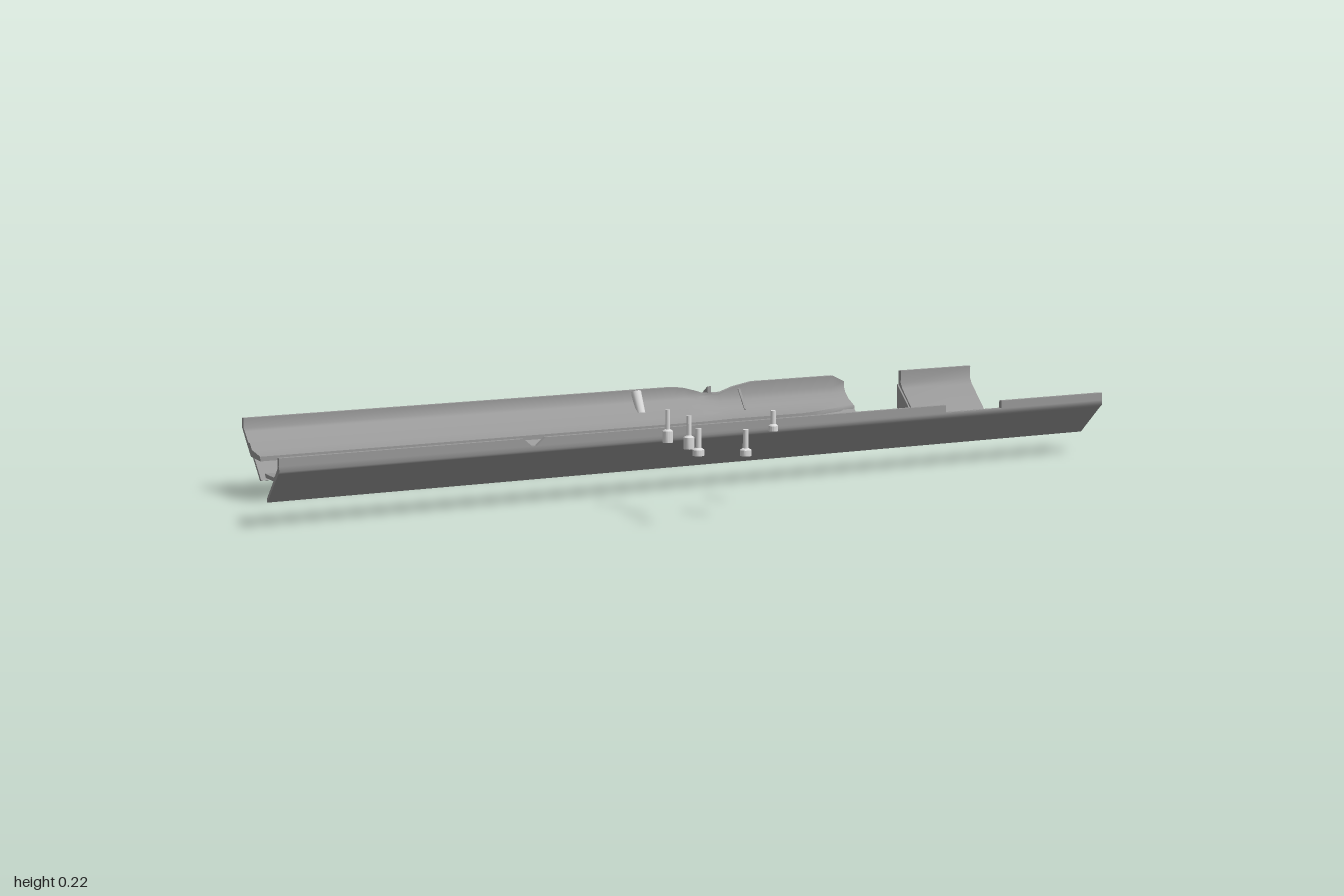
import * as THREE from 'three';
import { toCreasedNormals } from 'three/addons/utils/BufferGeometryUtils.js';

const steel = new THREE.MeshStandardMaterial({ color: 0x9a9a9a });
steel.name = 'steel grey';
const bright = new THREE.MeshStandardMaterial({ color: 0xdcdcdc });
bright.name = 'bright steel';
for (const m of [steel, bright]) m.side = THREE.DoubleSide;

// Closed [z, y] section carried along x; sectionAt(x) keeps its point count
function loft(xs, sectionAt, crease = 0.5) {
  const pos = [];
  const rings = xs.map((x) => {
    const pts = sectionAt(x).map(([z, y]) => new THREE.Vector2(z, y));
    if (THREE.ShapeUtils.isClockWise(pts)) pts.reverse();
    return pts;
  });
  const put = (i, k) => pos.push(xs[i], rings[i][k].y, rings[i][k].x);
  const n = rings[0].length, last = xs.length - 1;
  for (let i = 0; i < last; i++) {
    for (let k = 0; k < n; k++) {
      const j = (k + 1) % n;
      put(i, k); put(i + 1, k); put(i + 1, j);
      put(i, k); put(i + 1, j); put(i, j);
    }
  }
  for (const [a, b, c] of THREE.ShapeUtils.triangulateShape(rings[0], [])) {
    put(0, a); put(0, b); put(0, c);
  }
  for (const [a, b, c] of THREE.ShapeUtils.triangulateShape(rings[last], [])) {
    put(last, a); put(last, c); put(last, b);
  }
  const g = new THREE.BufferGeometry();
  g.setAttribute('position', new THREE.Float32BufferAttribute(pos, 3));
  return toCreasedNormals(g, crease);
}

// Linear lookup through [x, value] stops
function lookup(stops, x) {
  for (let i = 1; i < stops.length; i++) {
    const [a, u] = stops[i - 1], [b, v] = stops[i];
    if (x <= b) return u + (v - u) * Math.max(0, (x - a) / (b - a));
  }
  return stops[stops.length - 1][1];
}

export function createModel() {
  const root = new THREE.Group();
  const add = (parent, name, geometry, material = steel) => {
    const mesh = new THREE.Mesh(geometry, material);
    mesh.name = name;
    parent.add(mesh);
    return mesh;
  };
  const group = (name) => {
    const g = new THREE.Group();
    g.name = name;
    root.add(g);
    return g;
  };

  // Long front rail: sloping web with a rear ledge, and a notched upright flange
  const rail = group('frontRail');
  add(rail, 'railWeb', loft([-1, 1], () => [
    [0.055, 0.13], [0.055, 0.119], [0.049, 0.114], [-0.025, 0.045], [-0.026, 0.053], [0.017, 0.095],
    [-0.03, 0.095], [-0.035, 0.103], [0.02, 0.103], [0.03, 0.109], [0.045, 0.125], [0.045, 0.13],
  ], 0.9));
  for (const [a, b, c, d] of [[-1, -0.47, -1, -0.45], [-0.42, 0.57, -0.44, 0.57], [0.72, 1, 0.72, 1]]) {
    const s = new THREE.Shape([[c, 0.13], [d, 0.13], [b, 0.147], [a, 0.147]].map((p) => new THREE.Vector2(...p)));
    const g = new THREE.ExtrudeGeometry(s, { depth: 0.01, bevelEnabled: false });
    add(rail, 'railFlange', g.translate(0, 0, 0.045));
  }

  // Rear channel: curved trough with a dipped flange and tapering lip
  const channel = group('rearChannel');
  const top = [[0.1, 0.165], [0.14, 0.16], [0.18, 0.146], [0.22, 0.143], [0.26, 0.156], [0.31, 0.165], [0.53, 0.165], [0.56, 0.15]];
  const lip = [[0.13, -0.274], [0.2, -0.283], [0.39, -0.282], [0.43, -0.292], [0.48, -0.312], [0.53, -0.33]];
  const rise = [[0.13, 0.012], [0.22, 0]];
  const xs = [-0.93, -0.4, 0.1, 0.13, 0.16, 0.18, 0.2, 0.22, 0.26, 0.31, 0.39, 0.43, 0.48, 0.53, 0.56];
  add(channel, 'channelTrough', loft(xs, (x) => {
    const t = lookup(top, x), l = lookup(lip, x), h = lookup(rise, x);
    return [
      [-0.38, t], [-0.38, 0.138 + h * 0.4], [-0.373, 0.125 + h], [-0.358, 0.111 + h], [-0.336, 0.1 + h * 0.4], [l, 0.097],
      [l, 0.087], [-0.336, 0.088], [-0.365, 0.105 + h], [-0.382, 0.123 + h], [-0.39, 0.138 + h * 0.4], [-0.39, t],
    ];
  }, 1.2));

  // Sloping lower edge that carries on beneath the lip
  const foot = [[0.13, 0.111], [0.22, 0.09], [0.45, 0.086], [0.56, 0.075]];
  add(channel, 'channelWeb', loft(xs, (x) => {
    const f = lookup(foot, x), y = 0.14 + lookup(rise, x) * 1.3;
    return [[-0.35, y - 0.04], [-0.39 + f, y - f], [-0.382 + f, y + 0.002 - f], [-0.342, y - 0.038]];
  }));

  // Tabs behind the channel flange
  add(channel, 'bentTab', loft([0.13, 0.2, 0.26], (x) => {
    const z = x === 0.2 ? -0.402 : -0.393;
    return [[-0.385, 0.144], [z, 0.144], [z, 0.134], [-0.385, 0.134]];
  }));
  for (const [x, z] of [[0.2, -0.43], [0.51, -0.42]]) {
    add(channel, 'triangularTab', loft([x - 0.005, x + 0.005], () => [[-0.388, 0.16], [z, 0.131], [-0.388, 0.131]]));
  }

  // Slanted pin resting in the channel, its tip passing through
  const low = new THREE.Vector3(0.005, 0.052, -0.32), high = new THREE.Vector3(0.005, 0.16, -0.379);
  const pin = add(channel, 'slantedPin', new THREE.CylinderGeometry(0.012, 0.008, low.distanceTo(high), 16), bright);
  pin.position.copy(low).lerp(high, 0.5);
  pin.quaternion.setFromUnitVectors(new THREE.Vector3(0, 1, 0), high.clone().sub(low).normalize());

  // Short separate end section with a hanging flap
  const end = group('endSection');
  add(end, 'endPlate', loft([0.72, 0.92], () => [
    [-0.38, 0.165], [-0.38, 0.135], [-0.372, 0.122], [-0.31, 0.06], [-0.31, 0.05], [-0.379, 0.115], [-0.39, 0.132], [-0.39, 0.165],
  ], 0.7));
  add(end, 'endFlap', loft([0.716, 0.722], () => [[-0.31, 0.056], [-0.31, 0], [-0.39, 0.075], [-0.39, 0.132]]));

  // Loose thin blade above the rail
  add(root, 'thinBlade', loft([0.052, 0.057], () => [[0.056, 0.174], [0.026, 0.215], [0.024, 0.214], [0.054, 0.173]]));

  // Loose screws, heads down: x, z, bottom, head height, total height
  const screws = [
    [-0.25, 0.417, 0.148, 0.012, 0.055], [-0.115, 0.367, 0.13, 0.012, 0.054], [-0.22, 0.319, 0.145, 0.024, 0.068],
    [0.01, 0.258, 0.157, 0.011, 0.043], [-0.22, 0.224, 0.145, 0.024, 0.068],
  ];
  for (const [x, z, y, head, h] of screws) {
    const r = head > 0.02 ? 0.011 : h > 0.05 ? 0.012 : 0.01;
    const s = head > 0.02 ? 0.005 : 0.006;
    const pts = [[0, 0], [r, 0], [r, head], [s, head + 0.004], [s, h], [0, h]].map((p) => new THREE.Vector2(...p));
    const g = toCreasedNormals(new THREE.LatheGeometry(pts, 16), 0.6);
    add(root, 'screw', g, bright).position.set(x, y, z);
  }
  return root;
}
